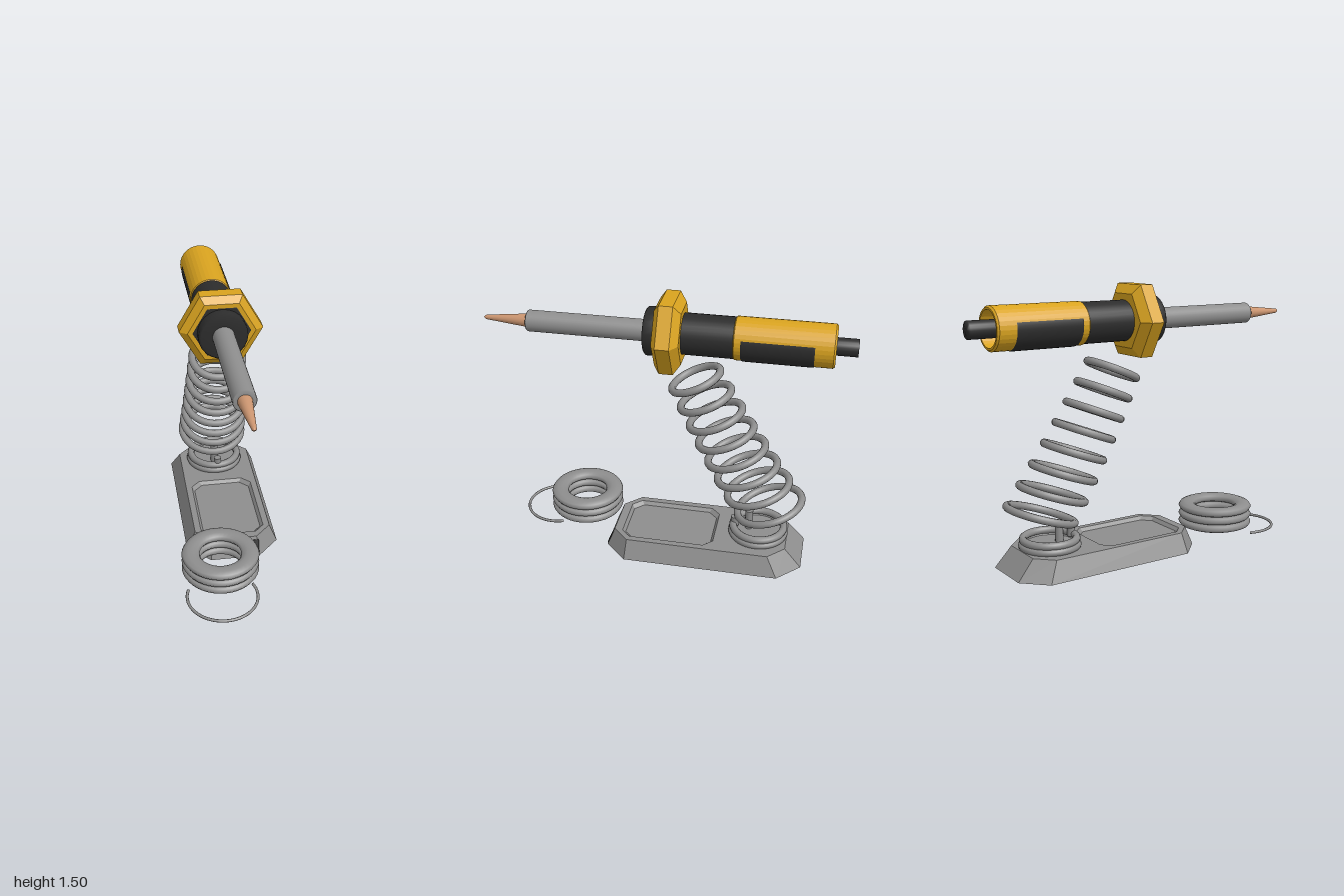
import * as THREE from 'three';

const mat = (name, color, extra = {}) => {
  const m = new THREE.MeshStandardMaterial({ color, ...extra });
  m.name = name;
  return m;
};

export function createModel() {
  const model = new THREE.Group();
  model.name = 'solderingStation';
  const steel = mat('steel', 0x8e8e8e);
  const steelFlat = mat('steelFaceted', 0x8e8e8e, { flatShading: true });
  const black = mat('black', 0x2c2c2c, { side: THREE.DoubleSide });
  const yellow = mat('yellow', 0xd9a31f, { flatShading: true });
  const copper = mat('copper', 0xcb9570);

  const add = (name, geo, material, parent = model) => {
    const mesh = new THREE.Mesh(geo, material);
    mesh.name = name;
    parent.add(mesh);
    return mesh;
  };

  // ---- Iron: every part is turned around the z axis, profiles are [radius, z] from back to front
  const iron = new THREE.Group();
  iron.name = 'iron';
  iron.position.set(-0.01, 1.31, 0);
  model.add(iron);
  const turned = (name, profile, material, sides = 32, start = Math.PI / 2, sweep = Math.PI * 2) => {
    const pts = profile.map(([r, z]) => new THREE.Vector2(r, z));
    const geo = new THREE.LatheGeometry(pts, sides, start, sweep).rotateX(Math.PI / 2);
    return add(name, geo, material, iron);
  };
  turned('tip', [[0.036, 0.74], [0.036, 0.755], [0.012, 0.985], [0, 1]], copper, 20);
  turned('shaft', [[0.058, 0.08], [0.058, 0.745], [0.054, 0.75], [0.036, 0.75]], steel);
  turned('collar', [[0.13, 0.035], [0.13, 0.09], [0.118, 0.1], [0.056, 0.1]], black, 24);
  turned('collarPlate', [[0.157, 0.036], [0.15, 0.045], [0, 0.045]], black, 6);
  turned('hexGuard', [[0, -0.1], [0.165, -0.1], [0.222, -0.062], [0.222, 0.012], [0.18, 0.04], [0, 0.04]], yellow, 6);
  turned('grip', [[0.108, -0.39], [0.11, -0.37], [0.11, -0.09]], black);
  turned('handle', [[0, -0.8], [0.095, -0.8], [0.095, -0.89], [0.106, -0.89], [0.115, -0.88],
    [0.115, -0.375], [0.105, -0.365], [0, -0.365]], yellow);
  turned('handlePad', [[0.115, -0.785], [0.1185, -0.775], [0.1185, -0.42], [0.115, -0.41]], black, 24, -1.87, 3.74);
  turned('cable', [[0, -1], [0.047, -1], [0.047, -0.79]], black, 20);

  // ---- Base: chamfered tray made of matching eight-sided loops
  const octagon = (x0, x1, z0, z1, c, y) => [
    [x0 + c, y, z1], [x1 - c, y, z1], [x1, y, z1 - c], [x1, y, z0 + c],
    [x1 - c, y, z0], [x0 + c, y, z0], [x0, y, z0 + c], [x0, y, z1 - c],
  ];
  const loops = [
    octagon(-0.235, 0.29, -0.81, 0.305, 0.125, 0.012),
    octagon(-0.185, 0.245, -0.715, 0.262, 0.09, 0.12),
    octagon(-0.15, 0.21, -0.31, 0.215, 0.05, 0.12),
    octagon(-0.135, 0.195, -0.295, 0.2, 0.05, 0.1),
  ];
  const verts = [];
  const tri = (...corners) => corners.forEach((c) => verts.push(...c));
  for (let i = 0; i < 8; i++) {
    const j = (i + 1) % 8;
    for (let k = 0; k < 3; k++) {
      const a = loops[k], b = loops[k + 1];
      tri(a[i], a[j], b[j]);
      tri(a[i], b[j], b[i]);
    }
    tri(loops[0][j], loops[0][i], [0.03, 0, -0.25]);
    tri(loops[3][i], loops[3][j], [0.03, 0.1, -0.05]);
  }
  const baseGeo = new THREE.BufferGeometry();
  baseGeo.setAttribute('position', new THREE.Float32BufferAttribute(verts, 3));
  baseGeo.computeVertexNormals();
  add('base', baseGeo, steelFlat);

  // dark slot on the front slope
  const slot = add('frontSlot', new THREE.BoxGeometry(0.035, 0.085, 0.006), black);
  slot.position.set(0.148, 0.062, 0.286);
  slot.rotation.x = -0.38;

  // ---- Rings lying flat or tilted about x, optionally squashed
  const ring = (name, outer, tube, [x, y, z], tilt = 0, squash = 1) => {
    const geo = new THREE.TorusGeometry(outer - tube, tube, 10, 40).rotateX(Math.PI / 2);
    const mesh = add(name, geo, steel);
    mesh.scale.y = squash;
    mesh.position.set(x, y, z);
    mesh.rotation.x = tilt;
  };

  // holder seat with its post
  for (const [y, r] of [[0.135, 0.17], [0.168, 0.165]]) ring('seatCoil', r, 0.021, [0.025, y, -0.55]);
  add('seatDisc', new THREE.CylinderGeometry(0.14, 0.14, 0.03, 32), steel).position.set(0.025, 0.128, -0.55);
  add('seatPost', new THREE.CylinderGeometry(0.022, 0.022, 0.14, 12), steel).position.set(0.02, 0.19, -0.495);
  add('seatStud', new THREE.CylinderGeometry(0.022, 0.022, 0.06, 12), steel).position.set(0.03, 0.185, -0.415);

  // holder spring: eight leaning coils that widen towards the base
  for (let i = 0; i < 8; i++) {
    const t = i / 7;
    ring('springCoil', 0.16 + 0.047 * t, 0.021,
      [-0.005 + 0.025 * t, 1.05 - 0.74 * t, -0.17 - 0.38 * t - 0.055 * t * t], 0.41 - 0.1 * t);
  }

  // ---- Solder roll and its loose end
  for (const y of [0.117, 0.163, 0.209]) ring('solderCoil', 0.21, 0.049, [-0.085, y, 0.485], 0, 0.53);
  const wire = new THREE.TorusGeometry(0.188, 0.008, 8, 40, Math.PI + 0.75).rotateZ(-0.375).rotateX(Math.PI / 2);
  add('looseWire', wire, steel).position.set(-0.1, 0.068, 0.665);

  return model;
}
